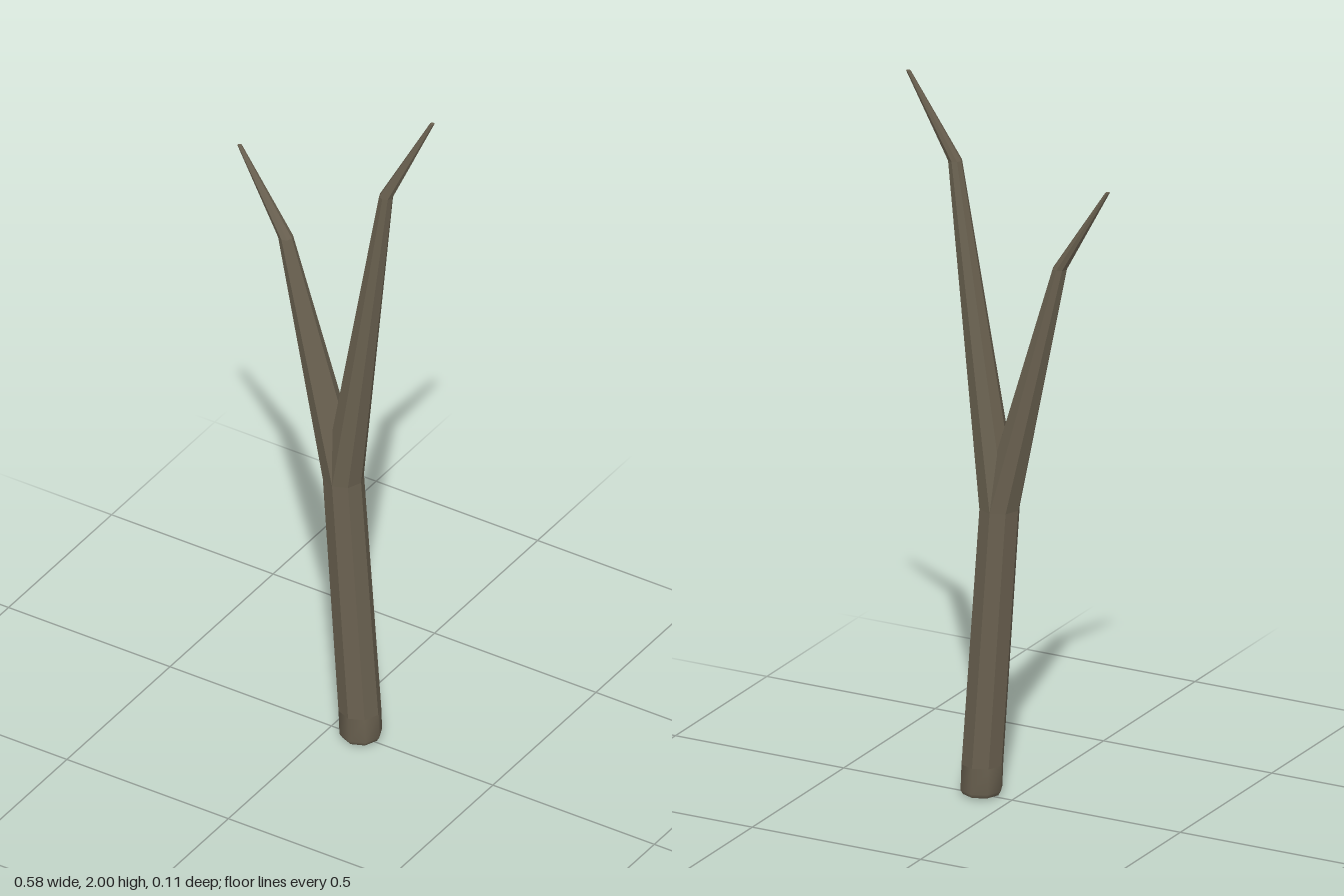
import * as THREE from 'three';

const SIDES = 8;

// Skin through horizontal rings, listed bottom to top as [x, y, z, radius]
function loft(rings) {
  const positions = [], index = [];
  for (const [x, y, z, r] of rings) {
    for (let i = 0; i < SIDES; i++) {
      const a = (i / SIDES) * Math.PI * 2;
      positions.push(x + Math.sin(a) * r, y, z + Math.cos(a) * r);
    }
  }
  for (let k = 0; k < rings.length - 1; k++) {
    for (let i = 0; i < SIDES; i++) {
      const j = (i + 1) % SIDES;
      const a = k * SIDES + i, b = k * SIDES + j;
      index.push(a, b, b + SIDES, a, b + SIDES, a + SIDES);
    }
  }
  const geometry = new THREE.BufferGeometry();
  geometry.setAttribute('position', new THREE.Float32BufferAttribute(positions, 3));
  geometry.setIndex(index);
  geometry.computeVertexNormals();
  return geometry;
}

export function createModel() {
  const group = new THREE.Group();
  const bark = new THREE.MeshStandardMaterial({ color: 0x6a6150, flatShading: true });
  const smoothBark = new THREE.MeshStandardMaterial({ color: 0x6a6150 });
  const wood = new THREE.MeshStandardMaterial({ color: 0xa08a78, flatShading: true });

  const add = (name, rings, material) => {
    const mesh = new THREE.Mesh(loft(rings), material);
    mesh.name = name;
    group.add(mesh);
  };

  const collar = [0.088, 0.09, 0, 0.057];
  const fork = [0.037, 0.81, 0, 0.055];

  // Rounded foot with a pale cut end
  add('cutEnd', [[0.091, 0, 0, 0], [0.091, 0.006, 0, 0.05]], wood);
  add('foot', [[0.091, 0.006, 0, 0.05], [0.091, 0.018, 0, 0.057], collar], smoothBark);

  // Leaning trunk up to the fork
  add('trunk', [collar, fork], bark);

  // Two bent branches sharing the fork ring, each closed at its tip
  add('tallBranch', [
    fork, [0.17, 1.755, 0.001, 0.019], [0.283, 2, -0.046, 0.006], [0.283, 2, -0.046, 0],
  ], bark);
  add('shortBranch', [
    fork, [-0.142, 1.508, 0, 0.02], [-0.284, 1.745, 0, 0.006], [-0.284, 1.745, 0, 0],
  ], bark);

  return group;
}
